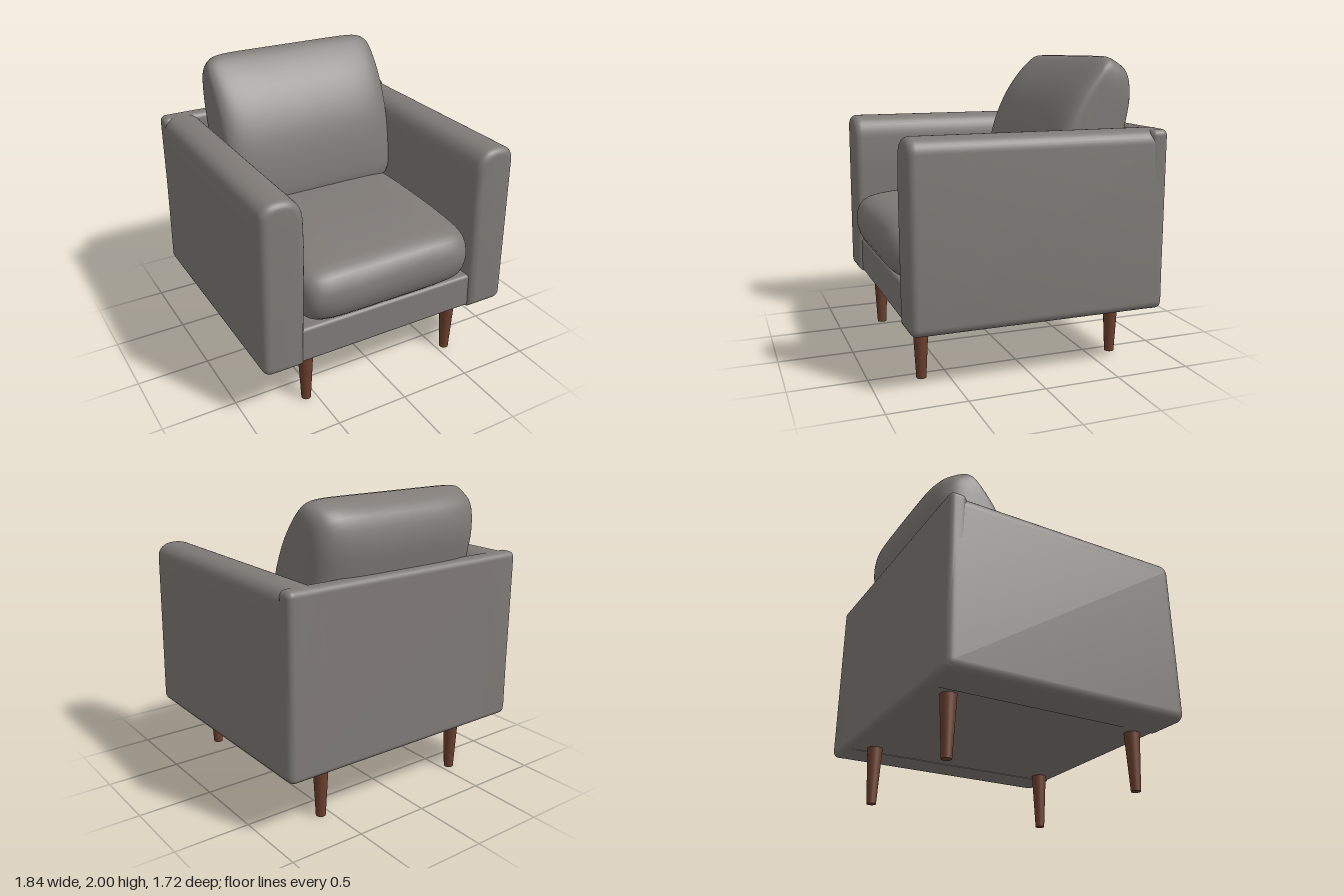
import * as THREE from 'three';
import { mergeVertices, toCreasedNormals } from 'three/addons/utils/BufferGeometryUtils.js';
import { RoundedBoxGeometry } from 'three/addons/geometries/RoundedBoxGeometry.js';

const fabric = new THREE.MeshStandardMaterial({ color: 0x7f7a76 });
fabric.name = 'grey fabric';
const wood = new THREE.MeshStandardMaterial({ color: 0x6b3f2d });
wood.name = 'brown wood';

function part(parent, name, geometry, material, x = 0, y = 0, z = 0) {
  const mesh = new THREE.Mesh(geometry, material);
  mesh.name = name;
  mesh.position.set(x, y, z);
  parent.add(mesh);
  return mesh;
}

function roundedBox(parent, name, [x0, x1], [y0, y1], [z0, z1], r) {
  const g = new RoundedBoxGeometry(x1 - x0, y1 - y0, z1 - z0, 5, r);
  return part(parent, name, g, fabric, (x0 + x1) / 2, (y0 + y1) / 2, (z0 + z1) / 2);
}

// Stuffed cushion: a closed [z, y] side profile swept across x, drawn in towards
// a centre line at both ends by superellipse falloffs (powY, powZ).
function cushionGeometry(profile, halfWidth, centreY, centreZ, powY, powZ) {
  const curve = new THREE.CatmullRomCurve3(profile.map(([z, y]) => new THREE.Vector3(0, y, z)), true);
  const ring = curve.getSpacedPoints(72).slice(0, 72);
  const n = ring.length, stations = 56;
  const positions = [], index = [];
  for (let i = 0; i <= stations; i++) {
    const s = Math.sin((i / stations - 0.5) * Math.PI);
    const t = Math.pow(Math.abs(s), 0.3);
    const falloff = (p) => Math.pow(Math.max(0, 1 - Math.pow(t, p)), 1 / p);
    const sy = falloff(powY), sz = falloff(powZ);
    for (const p of ring) {
      const y = centreY + (p.y - centreY) * sy;
      const z = centreZ(y) + (p.z - centreZ(p.y)) * sz;
      positions.push(Math.sign(s) * t * halfWidth, y, z);
    }
  }
  for (let i = 0; i < stations; i++) {
    for (let j = 0; j < n; j++) {
      const k = (j + 1) % n;
      const a = i * n + j, b = a + n, c = (i + 1) * n + k, d = i * n + k;
      index.push(a, b, c, a, c, d);
    }
  }
  const g = new THREE.BufferGeometry();
  g.setAttribute('position', new THREE.Float32BufferAttribute(positions, 3));
  g.setIndex(index);
  g.computeVertexNormals();
  return g;
}

// Arm section with a soft rounded top, extruded front to back
function armGeometry(side) {
  const bevel = 0.05;
  const s = new THREE.Shape();
  const X = (x) => side * x;
  s.moveTo(X(0.69), 0.435);
  s.lineTo(X(0.86), 0.435);
  s.quadraticCurveTo(X(0.87), 0.435, X(0.87), 0.445);
  s.lineTo(X(0.857), 1.46);
  s.quadraticCurveTo(X(0.855), 1.495, X(0.82), 1.503);
  s.quadraticCurveTo(X(0.77), 1.512, X(0.73), 1.5);
  s.quadraticCurveTo(X(0.68), 1.485, X(0.675), 1.4);
  s.lineTo(X(0.67), 1.2);
  s.lineTo(X(0.69), 0.435);
  const g = new THREE.ExtrudeGeometry(s, {
    depth: 1.68 - 2 * bevel, bevelEnabled: true, bevelThickness: bevel,
    bevelSize: bevel, bevelSegments: 6, curveSegments: 8,
  });
  g.translate(0, 0, -0.86 + bevel);
  g.deleteAttribute('uv');
  g.deleteAttribute('normal');
  return toCreasedNormals(mergeVertices(g, 1e-4), 0.7);
}

export function createModel() {
  const model = new THREE.Group();
  model.name = 'armchair';

  // Frame: base with front rail, back panel and arms
  roundedBox(model, 'base', [-0.665, 0.665], [0.388, 0.637], [-0.83, 0.79], 0.025);
  roundedBox(model, 'backPanel', [-0.91, 0.91], [0.386, 1.553], [-0.86, -0.74], 0.04);
  part(model, 'leftArm', armGeometry(1), fabric);
  part(model, 'rightArm', armGeometry(-1), fabric);

  // Seat cushion, crowned in the middle
  const seat = [
    [0.78, 0.645], [0.83, 0.7], [0.862, 0.82], [0.84, 0.93], [0.78, 0.99], [0.5, 1.04], [0.1, 1.06],
    [-0.4, 1.055], [-0.68, 1.02], [-0.74, 0.85], [-0.7, 0.66], [-0.3, 0.635], [0.4, 0.635],
  ];
  part(model, 'seatCushion', cushionGeometry(seat, 0.635, 0.83, () => 0.06, 5, 9), fabric);

  // Leaning back cushion
  const pillow = [
    [-0.28, 0.95], [-0.17, 1.02], [-0.16, 1.2], [-0.225, 1.52], [-0.36, 1.78], [-0.53, 1.96],
    [-0.6, 2.0], [-0.7, 1.965], [-0.785, 1.9], [-0.825, 1.75], [-0.8, 1.55], [-0.72, 1.2], [-0.6, 0.95],
  ];
  const lean = (y) => -0.34 - 0.26 * (y - 1) ** 2;
  part(model, 'backCushion', cushionGeometry(pillow, 0.647, 1.45, lean, 11, 4.5), fabric);

  // Tapered legs
  const leg = new THREE.CylinderGeometry(0.053, 0.032, 0.4, 28);
  for (const [name, x, z] of [
    ['frontLeftLeg', 0.565, 0.67], ['frontRightLeg', -0.565, 0.67],
    ['backLeftLeg', 0.565, -0.67], ['backRightLeg', -0.565, -0.67],
  ]) part(model, name, leg, wood, x, 0.2, z);

  return model;
}
